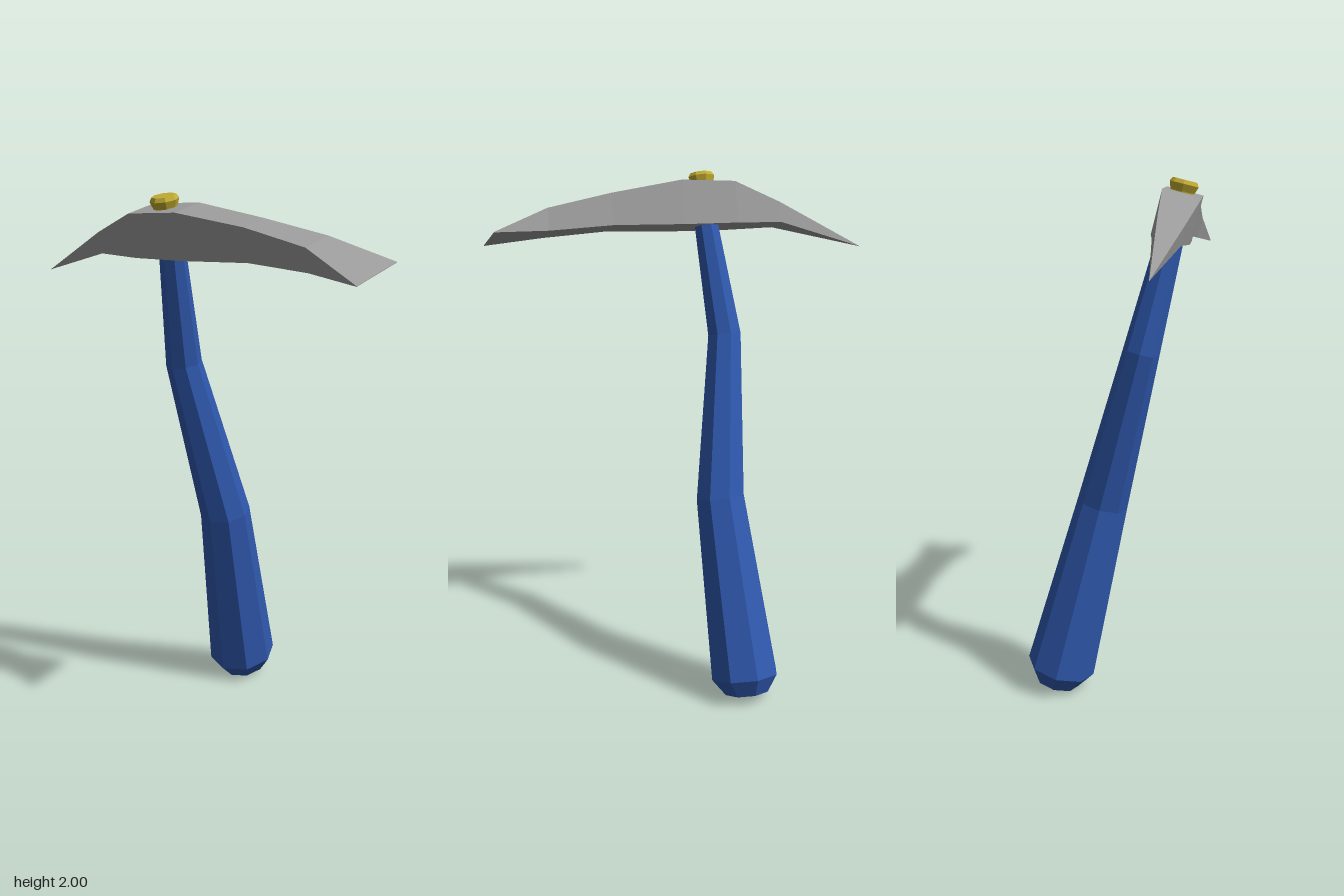
import * as THREE from 'three';

const mat = (name, color) => {
  const m = new THREE.MeshStandardMaterial({ color, flatShading: true });
  m.name = name;
  return m;
};

// Skin a list of equal-sized rings, each counter-clockwise seen from the far end, with closed ends
function loft(rings) {
  const n = rings[0].length, last = (rings.length - 1) * n, index = [];
  for (let r = 0; r < rings.length - 1; r++) {
    for (let i = 0; i < n; i++) {
      const a = r * n + i, b = r * n + (i + 1) % n;
      index.push(a, b, b + n, a, b + n, a + n);
    }
  }
  for (let i = 1; i < n - 1; i++) {
    index.push(0, i + 1, i, last, last + i, last + i + 1);
  }
  const geo = new THREE.BufferGeometry();
  geo.setAttribute('position', new THREE.Float32BufferAttribute(rings.flat(2), 3));
  geo.setIndex(index);
  const flat = geo.toNonIndexed();
  flat.computeVertexNormals();
  return flat;
}

const YAW = 0.05;

// Octagonal ring around the handle axis
const octagon = ([y, x, r]) => Array.from({ length: 8 }, (_, i) => {
  const a = i * Math.PI / 4 - YAW;
  return [x + r * Math.cos(a), y, -r * Math.sin(a)];
});

// Four-cornered head section, turned slightly with the head
const headSection = ([x, top, bottom, z, half]) =>
  [[top, -1], [top, 1], [bottom, 1], [bottom, -1]].map(([y, s]) => [x - s * half * YAW, y, z + s * half]);

export function createModel() {
  const blue = mat('blue handle', 0x2f58ad);
  const grey = mat('grey metal', 0x9c9c9c);
  const gold = mat('gold metal', 0xc2ac33);

  const model = new THREE.Group();
  model.name = 'pickaxe';
  const tool = new THREE.Group();
  tool.name = 'leaningTool';
  tool.position.set(0, 0.022, -0.245);
  tool.rotation.x = 0.242;
  model.add(tool);

  const add = (name, geo, material) => {
    const mesh = new THREE.Mesh(geo, material);
    mesh.name = name;
    tool.add(mesh);
    return mesh;
  };

  // Crooked handle: height, x centre, radius
  add('handle', loft([
    [0, -0.07, 0.088],
    [0.068, -0.067, 0.135],
    [0.767, -0.038, 0.098],
    [1.395, -0.122, 0.068],
    [1.93, -0.082, 0.044],
  ].map(octagon)), blue);

  // Head from point to flared blade: x, top, bottom, z centre, half width
  add('pickHead', loft([
    [-0.755, 1.718, 1.718, -0.033, 0],
    [-0.39, 1.898, 1.818, -0.011, 0.05],
    [-0.2, 1.978, 1.817, 0, 0.07],
    [0.015, 1.986, 1.817, 0.011, 0.068],
    [0.295, 1.943, 1.823, 0.027, 0.058],
    [0.54, 1.891, 1.808, 0.043, 0.068],
    [0.75, 1.798, 1.796, 0.052, 0.125],
  ].map(headSection)), grey);

  // Bevelled bolt on top of the head
  add('bolt', loft([
    [1.965, -0.088, 0.042],
    [1.985, -0.088, 0.044],
    [2.01, -0.088, 0.053],
    [2.024, -0.088, 0.044],
  ].map(octagon)), gold);

  return model;
}
